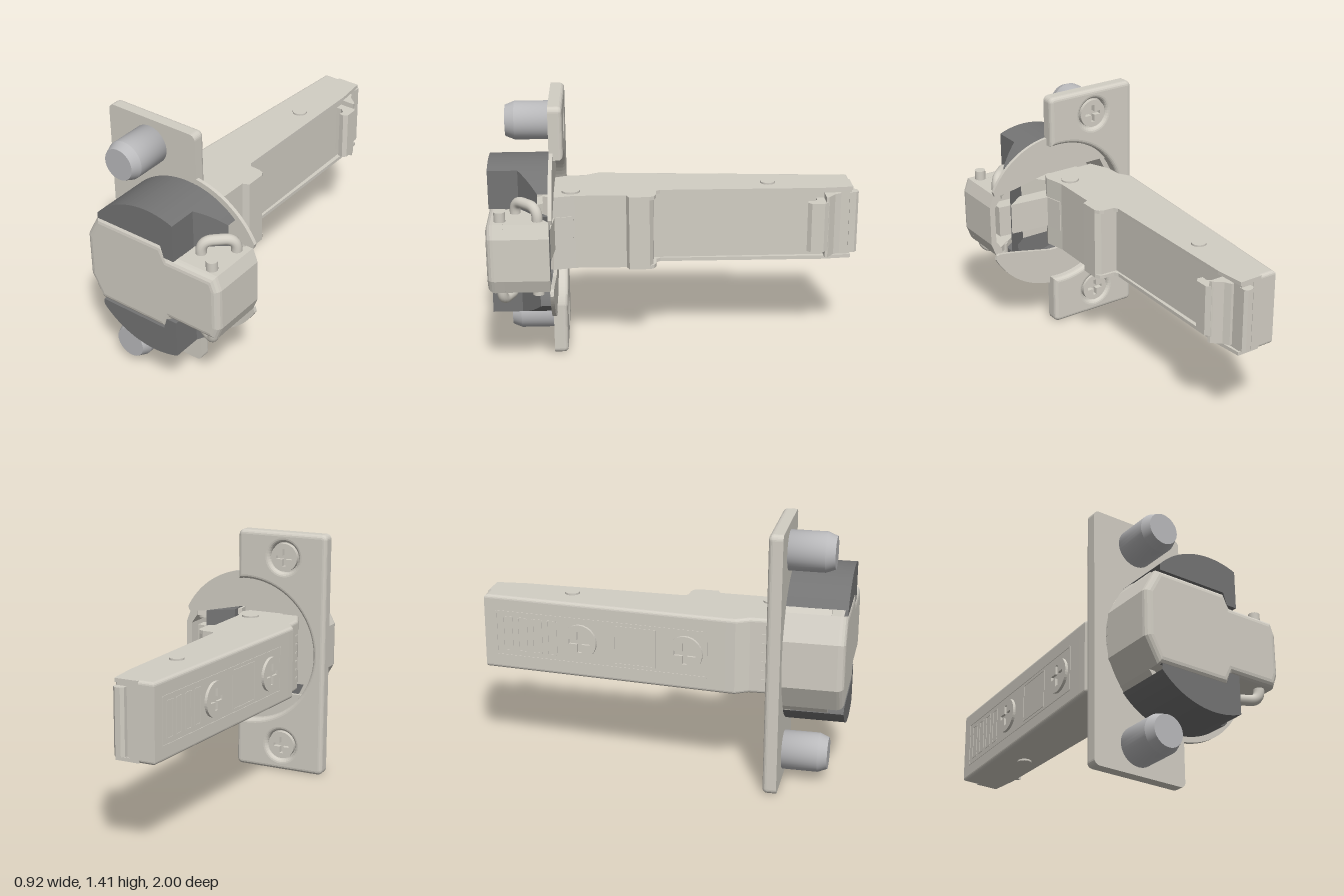
import * as THREE from 'three';

const CY = 0.705; // mirror height of the whole hinge
const CX = 0.03;  // cup axis
const mat = (color) => new THREE.MeshStandardMaterial({ color, side: THREE.DoubleSide });
const steel = mat(0xd2cec4), dark = mat(0x747474), pegGrey = mat(0xbababc);

export function createModel() {
  const root = new THREE.Group();

  const add = (name, geo, material = steel, parent = root) => {
    const m = new THREE.Mesh(geo, material);
    m.name = name;
    parent.add(m);
    return m;
  };
  const poly = (pts) => new THREE.Shape(pts.map(([x, y]) => new THREE.Vector2(x, y)));
  const mirrored = (pts) => [...pts, ...pts.map(([x, y]) => [x, -y]).reverse()];
  // Points of an arc from angle a0 to a1, end point left out
  const arc = (cx, cy, r, a0, a1, n) => Array.from({ length: n }, (_, i) => {
    const t = a0 + (a1 - a0) * i / n;
    return [cx + r * Math.cos(t), cy + r * Math.sin(t)];
  });
  const extrude = (shape, depth, bevel = 0) => new THREE.ExtrudeGeometry(shape, {
    depth: depth - 2 * bevel, bevelEnabled: bevel > 0, bevelSize: bevel, bevelThickness: bevel,
    bevelOffset: -bevel, bevelSegments: 4, curveSegments: 32,
  }).translate(0, 0, bevel);
  // Slab with a rounded edge on its far side and a flat, sharp base at z = 0
  const slab = (shape, depth, bevel) => {
    const g = extrude(shape, depth + bevel, bevel).translate(0, 0, -bevel);
    const p = g.attributes.position;
    for (let i = 0; i < p.count; i++) p.setZ(i, Math.max(0, p.getZ(i)));
    g.computeVertexNormals();
    return g;
  };
  // Outline in x,z drawn up from y0 to y1
  const profile = (pts, y0, y1, bevel = 0) =>
    extrude(poly(pts.map(([x, z]) => [x, -z])), y1 - y0, bevel).rotateX(-Math.PI / 2).translate(0, y0, 0);
  const cylY = (r, x, z, y0, y1) => new THREE.CylinderGeometry(r, r, y1 - y0, 32).translate(x, (y0 + y1) / 2, z);
  const cross = (a, b) => [[-b, -a], [b, -a], [b, -b], [a, -b], [a, b], [b, b], [b, a], [-b, a], [-b, b], [-a, b], [-a, -b], [-b, -b]];
  // Screw head facing +z with a cross recess
  const screwHead = (name, r, depth, parent) => {
    const g = new THREE.Group();
    g.name = name;
    const s = poly(arc(0, 0, r, 0, Math.PI * 2, 40));
    s.holes.push(poly(cross(r * 0.62, r * 0.13)));
    add('screwFace', extrude(s, depth), steel, g);
    add('screwFloor', new THREE.CircleGeometry(r, 32).translate(0, 0, 0.002), steel, g);
    parent.add(g);
    return g;
  };

  // Mounting plate, rounded on the back, with a round opening on its inner edge.
  // Drawn with x reversed, then turned to face the back.
  const R = 0.42, px = 0.085, a = Math.acos((px - CX) / R), c = 0.03, H = Math.PI / 2;
  const plate = poly([
    ...arc(px - c, 1.41 - c, c, 0, H, 6), [px - c, 1.41],
    ...arc(-0.46 + c, 1.41 - c, c, H, 2 * H, 6), [-0.46, 1.41 - c],
    ...arc(-0.46 + c, c, c, 2 * H, 3 * H, 6), [-0.46 + c, 0],
    ...arc(px - c, c, c, 3 * H, 4 * H, 6), [px, c],
    ...arc(CX, CY, R, -a, a - 4 * H, 48), [px, CY + R * Math.sin(a)],
  ].map(([x, y]) => [-x, y]));
  const screws = [0.15, 1.265];
  for (const y of screws) plate.holes.push(poly(arc(0.2, y, 0.088, 0, 4 * H, 36)));
  add('mountingPlate', slab(plate, 0.075, 0.024).rotateY(Math.PI).translate(0, 0, 0.68));

  // Dowels on the front and screw heads on the back of the plate
  for (const y of screws) {
    const side = [[0, 0.67], [0.105, 0.67], [0.105, 0.87]], cap = [[0.105, 0.87], [0.085, 0.92]], end = [[0.085, 0.92], [0, 0.92]];
    for (const part of [side, cap, end]) {
      const g = new THREE.LatheGeometry(part.map((p) => new THREE.Vector2(...p)), 40).rotateX(H);
      add('dowel', g, pegGrey).position.set(-0.2, y, 0);
    }
    const s = screwHead('plateScrew', 0.08, 0.03, root);
    s.position.set(-0.2, y, 0.642);
    s.rotation.y = Math.PI;
    add('screwSeat', new THREE.CircleGeometry(0.1, 32)).position.set(-0.2, y, 0.645);
  }

  // Thin cup flange, an upper and a lower circle segment
  for (const s of [1, -1]) {
    const f0 = Math.asin(0.21 / 0.46);
    const seg = [...arc(0, 0, 0.46, f0, Math.PI - f0, 48), [-0.41, 0.21], [-0.33, 0.25], [0.05, 0.245], [0.29, 0.195], [0.385, 0.18], [0.402, 0.185]];
    add('cupFlange', extrude(poly(seg.map(([x, y]) => [x, s * y])), 0.02)).position.set(CX, CY, 0.6585);
  }

  // Cup: round wall lofted along x, with a stepped, sloping front and a channel for the cover
  const front = [];
  for (let i = 0; i <= 24; i++) front.push([-0.29 + 0.48 * i / 24, 0.998]);
  for (let i = 0; i <= 8; i++) front.push([0.19 + 0.135 * i / 8, 0.84 - 0.105 * i / 8]);
  const pos = [], ind = [];
  front.forEach(([x, z], i) => {
    const h = Math.sqrt(0.43 ** 2 - (x - CX) ** 2), k = x < 0.13 ? 0.255 : 0.19;
    for (const [y, d] of mirrored([[-h, 0.675], [-h, z], [-k, z], [-k, z - 0.06]].map(([y, d]) => [d, y]).map(([d, y]) => [d, y])).map(([d, y]) => [y, d]))
      pos.push(x, CY + y, d);
    if (i) for (let j = 0; j < 7; j++) {
      const p = (i - 1) * 8 + j, q = i * 8 + j;
      ind.push(p, q, p + 1, q, q + 1, p + 1);
    }
  });
  const loft = new THREE.BufferGeometry();
  loft.setAttribute('position', new THREE.Float32BufferAttribute(pos, 3));
  loft.setIndex(ind);
  const cup = loft.toNonIndexed();
  cup.computeVertexNormals();
  add('cup', cup, dark);

  // Front cover: wide body stepping down to a narrow nose
  const outline = mirrored([[0.457, 0.115], [0.43, 0.188], [0.155, 0.188], [0.12, 0.258], [-0.29, 0.258], [-0.305, 0.258], [-0.377, 0.125]]);
  add('frontCover', slab(poly(outline), 0.09, 0.038).translate(0, CY, 0.91));
  const wall = mirrored([[-0.285, 0.285], [-0.305, 0.258], [-0.377, 0.125]]);
  const wallInside = mirrored([[-0.265, 0.265], [-0.285, 0.24], [-0.345, 0.115]]).reverse();
  add('coverSideWall', extrude(poly([...wall, ...wallInside]), 0.24).translate(0, CY, 0.675));
  const cheek = [[0.17, 0.84], [0.40, 0.68], [0.428, 0.68], [0.428, 0.94], [0.4, 0.965], [0.19, 0.965]];
  for (const y of [CY - 0.187, CY + 0.152]) add('noseCheek', profile(cheek, y, y + 0.035));
  const nose = [...mirrored([[0.39, 0.187], [0.43, 0.187], [0.457, 0.115]]), ...mirrored([[0.39, 0.155], [0.425, 0.105]]).reverse()];
  add('noseEnd', extrude(poly(nose), 0.24).translate(0, CY, 0.675));

  // Spring wire loops and pins on both cheeks
  const wireLoop = (y0, y1, za, zb) => {
    const d = (y1 - y0) * 0.5, at = (t, y) => new THREE.Vector3(0.248 + 0.127 * t, y, za + (zb - za) * t);
    const path = new THREE.CurvePath();
    path.add(new THREE.LineCurve3(at(0, y0), at(0, y1 - d)));
    path.add(new THREE.QuadraticBezierCurve3(at(0, y1 - d), at(0, y1), at(0.35, y1)));
    path.add(new THREE.LineCurve3(at(0.35, y1), at(0.65, y1)));
    path.add(new THREE.QuadraticBezierCurve3(at(0.65, y1), at(1, y1), at(1, y1 - d)));
    path.add(new THREE.LineCurve3(at(1, y1 - d), at(1, y0)));
    add('springWire', new THREE.TubeGeometry(path, 48, 0.028, 14));
  };
  wireLoop(0.84, 0.963, 0.855, 0.735);
  wireLoop(0.57, 0.453, 0.87, 0.93);
  add('cheekPin', cylY(0.03, 0.372, 0.928, 0.86, 0.945));
  add('cheekPin', cylY(0.03, 0.35, 0.742, 0.475, 0.55));

  // Arm: rounded back, two thin side plates and a slightly recessed inner face
  const backEdge = [[-0.25, 0.72], [-0.3, 0.6], [-0.305, 0.5], [-0.345, 0.43], [-0.342, 0.38], [-0.24, -0.965]];
  const tail = [[0.1, 0.15], [0.1, 0.26], [0.065, 0.275], [0.06, 0.55], [0.085, 0.67], [0.06, 0.72]];
  const rim = [[-0.15, -0.965], [-0.02, -0.965], [-0.005, -0.8], [-0.015, 0.09], [0, 0.112], [0.06, 0.115], [0.085, 0.125], ...tail, [-0.15, 0.72]];
  const inner = [[-0.15, -0.96], [-0.03, -0.96], [-0.028, 0.125], [0.07, 0.13], ...tail, [-0.15, 0.72]];
  add('armBack', profile([...backEdge, [-0.1, -0.965], [-0.1, 0.72]], 0.5, 0.915, 0.018));
  add('armInnerFace', profile(inner, 0.515, 0.9));
  for (const y of [0.5, 0.895]) add('armSide', profile(rim, y, y + 0.02));

  // Rivets through the arm
  add('rivet', cylY(0.04, -0.112, -0.505, 0.49, 0.925));
  add('rivet', cylY(0.05, -0.013, 0.572, 0.49, 0.925));

  // Links swinging from the arm into the cup
  add('outerLink', profile([[0.0, 0.56], [0.068, 0.56], [0.088, 0.66], [0.39, 0.69], [0.39, 0.77], [0.0, 0.75]], 0.62, 0.8));
  add('innerLink', profile([[-0.24, 0.6], [-0.1, 0.6], [0.12, 0.9], [0, 0.91]], 0.56, 0.85));

  // Release latch on the rear end
  add('latchTab', profile([[-0.085, -0.95], [-0.085, -0.985], [-0.07, -1], [-0.04, -1], [-0.025, -0.985], [-0.025, -0.95]], 0.53, 0.88));
  add('latchHook', profile([[-0.05, -0.9], [-0.015, -0.9], [0.003, -0.865], [0.05, -0.825], [0.055, -0.81], [-0.05, -0.81]], 0.53, 0.88));
  add('latchLip', profile([[-0.05, -0.83], [0.045, -0.83], [0.07, -0.8], [0.07, -0.73], [0.05, -0.71], [0.022, -0.715], [0.025, -0.75], [0, -0.765], [-0.05, -0.765]], 0.57, 0.85));

  // Details on the outer face of the arm; local x runs along the arm towards the cup
  const face = new THREE.Group();
  face.name = 'armFaceDetails';
  face.position.set(-0.313, CY, 0);
  face.rotation.y = -H - Math.atan2(0.102, 1.345);
  root.add(face);
  const bar = (name, x, y, w, h) => add(name, new THREE.BoxGeometry(w, h, 0.006).translate(x, y, 0), steel, face);
  const frame = (name, x0, x1, h) => {
    for (const s of [1, -1]) bar(name, (x0 + x1) / 2, s * h, x1 - x0, 0.008);
    for (const x of [x0, x1]) bar(name, x, 0, 0.008, 2 * h);
  };
  frame('railFrame', -0.9, 0.28, 0.125);
  frame('windowFrame', -0.23, 0.0, 0.105);
  for (let i = 0; i < 4; i++) frame('gripSlot', -0.86 + i * 0.085, -0.81 + i * 0.085, 0.095);
  for (const x of [-0.42, 0.165]) screwHead('adjustingScrew', 0.095, 0.016, face).position.x = x;
  for (let i = 0; i < 6; i++) add('armTooth', new THREE.BoxGeometry(0.012, 0.01, 0.025).translate(-0.3, 0.58 + i * 0.05, 0.575));

  return root;
}
